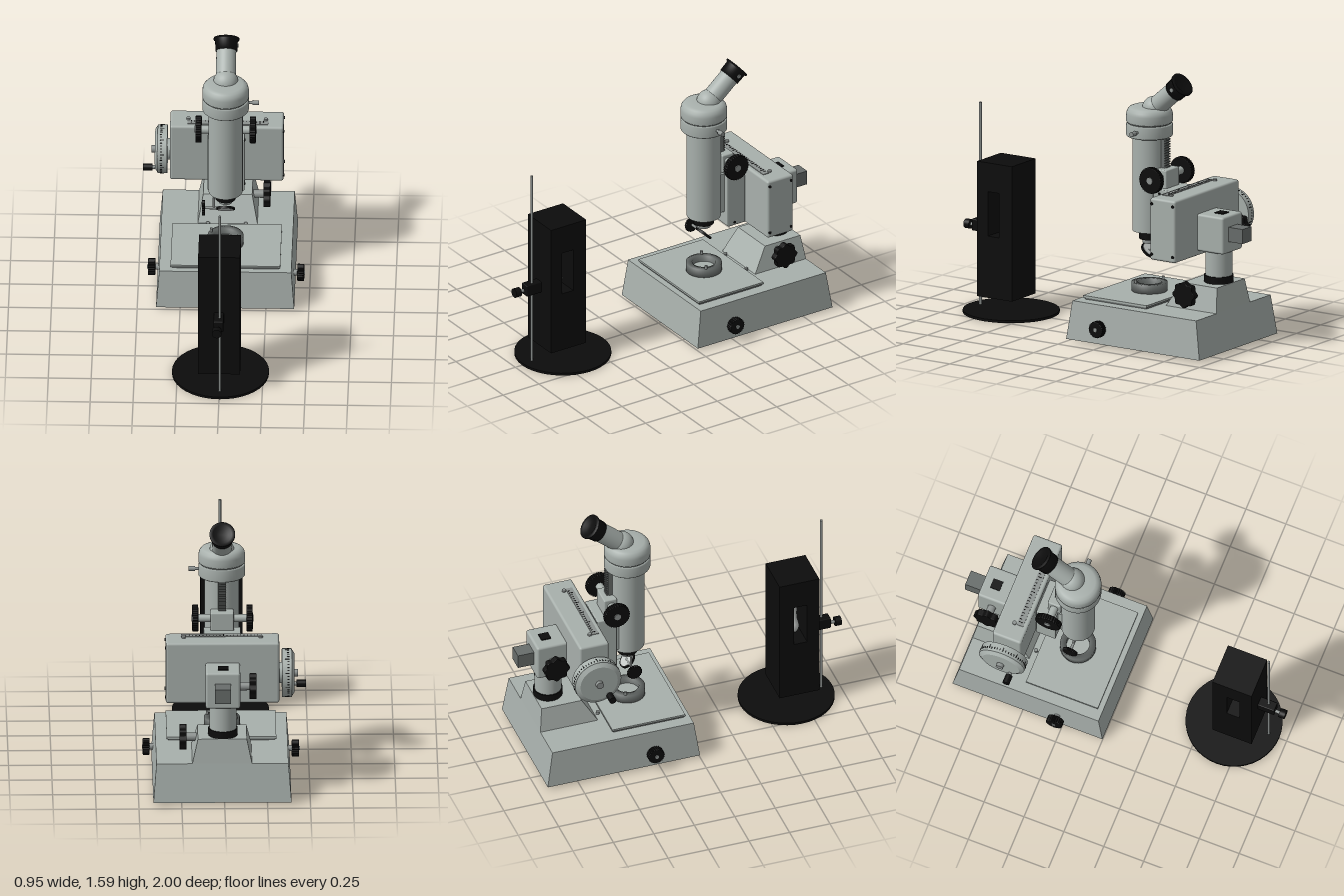
import * as THREE from 'three';
import { RoundedBoxGeometry } from 'three/addons/geometries/RoundedBoxGeometry.js';

const paint = (name, color) => {
  const m = new THREE.MeshStandardMaterial({ color });
  m.name = name;
  return m;
};

export function createModel() {
  const root = new THREE.Group();
  root.name = 'microscopeAndLamp';
  const grey = paint('greyEnamel', 0xa8b0ac);
  const steel = paint('steel', 0x8d9290);
  const dark = paint('darkMetal', 0x686d6b);
  const black = paint('black', 0x0c0c0c);
  const glass = paint('paleGlass', 0xc4c8c6);

  const add = (name, geo, mat, x = 0, y = 0, z = 0, parent = root) => {
    const m = new THREE.Mesh(geo, mat);
    m.name = name;
    m.position.set(x, y, z);
    parent.add(m);
    return m;
  };
  // Box given by its limits on each axis
  const box = (name, mat, [x0, x1], [y0, y1], [z0, z1], round = 0) => {
    const s = [x1 - x0, y1 - y0, z1 - z0];
    const geo = round ? new RoundedBoxGeometry(...s, 3, round) : new THREE.BoxGeometry(...s);
    return add(name, geo, mat, (x0 + x1) / 2, (y0 + y1) / 2, (z0 + z1) / 2);
  };
  // Cylinder running between two values along one axis
  const rod = (name, mat, axis, r, from, to, x, y, z, r2 = r, parent = root) => {
    const g = new THREE.CylinderGeometry(r2, r, to - from, 40);
    if (axis === 'x') g.rotateZ(-Math.PI / 2);
    if (axis === 'z') g.rotateX(Math.PI / 2);
    const m = add(name, g, mat, x, y, z, parent);
    m.position[axis] = (from + to) / 2;
    return m;
  };
  // Lobed or knurled knob with its axis along x
  const knob = (name, r, from, to, y, z, lobes, depth) => {
    const pts = [];
    for (let i = 0; i < 96; i++) {
      const a = (i / 96) * Math.PI * 2, q = r - depth + depth * Math.cos(a * lobes);
      pts.push(new THREE.Vector2(Math.cos(a) * q, Math.sin(a) * q));
    }
    const b = 0.004;
    const g = new THREE.ExtrudeGeometry(new THREE.Shape(pts), {
      depth: to - from - 2 * b, bevelEnabled: true, bevelSize: b, bevelThickness: b, bevelOffset: -b, bevelSegments: 2,
    });
    g.center().rotateY(Math.PI / 2);
    return add(name, g, black, (from + to) / 2, y, z);
  };
  // Box whose top rectangle differs from its bottom one
  const taper = (name, mat, y0, y1, bottom, top) => {
    const g = new THREE.BoxGeometry(1, 1, 1), p = g.attributes.position;
    for (let i = 0; i < p.count; i++) {
      const [x0, x1, z0, z1] = p.getY(i) > 0 ? top : bottom;
      p.setXYZ(i, p.getX(i) > 0 ? x1 : x0, p.getY(i) > 0 ? y1 : y0, p.getZ(i) > 0 ? z1 : z0);
    }
    g.computeVertexNormals();
    return add(name, g, mat);
  };
  const lathe = (name, mat, pts, x, y, z, parent = root) =>
    add(name, new THREE.LatheGeometry(pts.map(p => new THREE.Vector2(...p)), 48), mat, x, y, z, parent);

  const cx = 0.008, tubeZ = -0.31, colZ = -0.8;

  // Base, stage and pedestal
  taper('base', grey, 0.015, 0.245, [-0.39, 0.415, -0.94, 0], [-0.372, 0.397, -0.905, -0.032]);
  box('stageLowerPlate', dark, [-0.3, 0.325], [0.245, 0.256], [-0.505, -0.07]);
  box('stagePlate', grey, [-0.307, 0.332], [0.256, 0.268], [-0.512, -0.062]);
  taper('pedestal', grey, 0.245, 0.39, [-0.16, 0.188, -0.905, -0.55], [-0.13, 0.155, -0.887, -0.64]);
  for (const x of [-0.1, 0.12]) rod('stageScrew', steel, 'y', 0.011, 0.245, 0.263, x, 0, -0.53);
  lathe('specimenRing', dark, [[0.068, 0], [0.105, 0], [0.105, 0.052], [0.068, 0.052], [0.068, 0]], cx, 0.268, tubeZ);
  rod('specimenGlass', grey, 'y', 0.068, 0.268, 0.285, cx, 0, tubeZ);
  for (const dz of [-0.04, 0.04]) rod('ringPin', steel, 'y', 0.008, 0.3, 0.342, cx + dz * 2.1, 0, tubeZ + dz);

  // Base side knobs
  knob('baseKnobLeft', 0.05, 0.428, 0.468, 0.112, -0.243, 24, 0.002);
  rod('baseShaftLeft', steel, 'x', 0.018, 0.39, 0.43, 0, 0.112, -0.243);
  rod('baseKnobCapLeft', steel, 'x', 0.012, 0.46, 0.473, 0, 0.112, -0.243);
  knob('baseKnobRight', 0.05, -0.443, -0.4, 0.112, -0.285, 24, 0.002);
  rod('baseShaftRight', steel, 'x', 0.018, -0.402, -0.37, 0, 0.112, -0.285);
  rod('baseKnobCapRight', steel, 'x', 0.012, -0.448, -0.435, 0, 0.112, -0.285);

  // Rear column, clamp block and crossbar
  rod('columnCollar', black, 'y', 0.086, 0.39, 0.432, cx, 0, colZ);
  rod('column', grey, 'y', 0.079, 0.43, 0.6, cx, 0, colZ);
  box('clampBlock', grey, [-0.092, 0.11], [0.58, 0.802], [-0.9, -0.71], 0.014);
  box('crossbar', dark, [-0.036, 0.056], [0.65, 0.737], [-1, -0.89]);
  box('blockTopPlug', black, [-0.023, 0.037], [0.8, 0.808], [-0.85, -0.79]);
  knob('pedestalStarKnob', 0.079, 0.22, 0.26, 0.345, -0.72, 8, 0.006);
  rod('pedestalShaft', steel, 'x', 0.024, 0.14, 0.225, 0, 0.345, -0.72);
  knob('blockStarKnob', 0.08, -0.187, -0.147, 0.69, -0.81, 8, 0.006);
  rod('blockShaft', steel, 'x', 0.024, -0.15, -0.08, 0, 0.69, -0.81);

  // Traverse housing with scale marks and screws
  box('housing', grey, [-0.322, 0.34], [0.55, 0.922], [-0.718, -0.538], 0.014);
  box('slideGap', dark, [-0.085, 0.1], [0.58, 0.9], [-0.545, -0.525]);
  box('slide', grey, [-0.1, 0.116], [0.565, 0.912], [-0.53, -0.41], 0.006);
  box('dovetail', grey, [-0.06, 0.076], [0.65, 0.9], [-0.42, -0.365]);
  box('scaleStrip', steel, [-0.22, 0.25], [0.92, 0.926], [-0.605, -0.565]);
  for (let i = 0; i < 22; i++) {
    const x = -0.2 + i * 0.02, d = i % 5 ? 0.012 : 0.022;
    box('scaleMark', black, [x, x + 0.004], [0.925, 0.928], [-0.6, -0.6 + d]);
  }
  for (const y of [0.585, 0.888]) {
    for (const z of [-0.553, -0.7]) rod('housingScrew', black, 'x', 0.009, 0.335, 0.344, 0, y, z);
    rod('slideScrew', black, 'x', 0.008, 0.11, 0.119, 0, y, -0.455);
  }
  for (const x of [-0.215, 0.235]) rod('scaleScrew', steel, 'y', 0.012, 0.915, 0.932, x, 0, -0.62);

  // Graduated drum with crank handle
  const dy = 0.707, dz = -0.63;
  rod('drumHub', grey, 'x', 0.062, -0.345, -0.315, 0, dy, dz);
  rod('drumRim', grey, 'x', 0.142, -0.395, -0.338, 0, dy, dz);
  rod('drumFace', grey, 'x', 0.115, -0.41, -0.395, 0, dy, dz, 0.138);
  rod('drumBoss', steel, 'x', 0.022, -0.432, -0.405, 0, dy, dz);
  rod('crankPin', steel, 'x', 0.012, -0.43, -0.4, 0, 0.618, -0.57);
  rod('crankHandle', black, 'x', 0.021, -0.48, -0.425, 0, 0.618, -0.57);
  for (let i = 0; i < 50; i++) {
    const a = (i / 50) * Math.PI * 2, l = i % 5 ? 0.012 : 0.024;
    const mark = add('drumMark', new THREE.BoxGeometry(l, 0.003, 0.005), black,
      -0.38 + l / 2, dy + Math.cos(a) * 0.142, dz + Math.sin(a) * 0.142);
    mark.rotation.x = a;
  }

  // Focus rack and pinion knobs
  box('rack', dark, [-0.014, 0.03], [0.9, 1.2], [-0.432, -0.4]);
  for (let i = 0; i < 20; i++) {
    const y = 0.905 + i * 0.0148;
    box('rackTooth', dark, [-0.014, 0.03], [y, y + 0.007], [-0.445, -0.43]);
  }
  box('pinionBlock', grey, [-0.06, 0.076], [0.905, 1.02], [-0.475, -0.395], 0.008);
  rod('pinionShaft', grey, 'x', 0.024, -0.14, 0.15, 0, 0.975, -0.432);
  for (const [a, b] of [[-0.17, -0.135], [0.147, 0.182]]) {
    knob('focusKnob', 0.079, a, b, 0.975, -0.432, 30, 0.002);
    rod('focusKnobCap', steel, 'x', 0.02, a - 0.005, b + 0.005, 0, 0.975, -0.432);
  }

  // Main tube, objective and tilted reflector
  rod('mainTube', grey, 'y', 0.1, 0.63, 1.21, cx, 0, tubeZ);
  rod('objectiveCollar', black, 'y', 0.06, 0.58, 0.63, cx, 0, tubeZ);
  rod('objective', steel, 'y', 0.04, 0.555, 0.58, cx, 0, tubeZ);
  rod('reflectorArm', steel, 'x', 0.008, -0.12, 0.02, 0, 0.508, tubeZ);
  rod('reflectorPost', steel, 'y', 0.007, 0.5, 0.58, -0.06, 0, tubeZ);
  knob('reflectorKnob', 0.046, -0.13, -0.112, 0.508, tubeZ, 24, 0.002);
  const mirror = new THREE.Group();
  mirror.name = 'reflector';
  mirror.position.set(cx, 0.508, tubeZ);
  mirror.rotation.x = -0.75;
  root.add(mirror);
  rod('reflectorRim', black, 'y', 0.054, -0.008, 0.004, 0, 0, 0, 0.054, mirror);
  rod('reflectorGlass', glass, 'y', 0.046, -0.01, 0.006, 0, 0, 0, 0.046, mirror);

  // Head with groove and domed top
  lathe('headLower', grey, [[0, 0], [0.13, 0], [0.136, 0.006], [0.136, 0.07], [0.131, 0.078], [0, 0.078]], cx, 1.197, tubeZ);
  rod('headGroove', dark, 'y', 0.128, 1.27, 1.285, cx, 0, tubeZ);
  lathe('headUpper', grey, [[0, 0], [0.131, 0], [0.136, 0.006], [0.136, 0.05], [0.131, 0.07], [0.118, 0.086],
    [0.1, 0.093], [0.06, 0.097], [0, 0.098]], cx, 1.28, tubeZ);
  rod('headPin', steel, 'x', 0.009, 0.13, 0.17, 0, 1.24, -0.315);
  rod('headPinTip', steel, 'x', 0.014, 0.165, 0.203, 0, 1.24, -0.315);

  // Inclined eyepiece
  const eye = new THREE.Group();
  eye.name = 'eyepiece';
  eye.position.set(cx, 1.365, -0.345);
  eye.rotation.x = -0.86;
  root.add(eye);
  add('eyepieceSocket', new THREE.SphereGeometry(0.072, 32, 20), grey, 0, 0, 0, eye);
  rod('eyepieceTube', grey, 'y', 0.058, 0, 0.2, 0, 0, 0, 0.058, eye);
  lathe('eyecup', black, [[0, 0.185], [0.064, 0.185], [0.066, 0.25], [0.075, 0.252], [0.075, 0.262],
    [0.055, 0.262], [0.035, 0.25], [0, 0.25]], 0, 0, 0, eye);
  rod('eyepieceScrew', steel, 'x', 0.012, 0.058, 0.07, 0, 0.22, 0, 0.012, eye);

  // Lamp housing with a slot through its sides
  const wall = new THREE.Shape([[-0.83, 0.095], [-0.585, 0.095], [-0.585, 0.905], [-0.83, 0.905]].map(p => new THREE.Vector2(...p)));
  wall.holes.push(new THREE.Path([[-0.755, 0.465], [-0.755, 0.732], [-0.675, 0.732], [-0.675, 0.465]].map(p => new THREE.Vector2(...p))));
  const wallGeo = new THREE.ExtrudeGeometry(wall, { depth: 0.245, bevelEnabled: false });
  wallGeo.rotateY(Math.PI / 2);
  add('lampHousing', wallGeo, black, -0.125);
  lathe('lampBulb', glass, [[0, 0.465], [0.025, 0.475], [0.035, 0.505], [0.03, 0.53], [0.022, 0.56], [0.02, 0.6],
    [0.022, 0.64], [0.032, 0.665], [0.035, 0.69], [0.025, 0.715], [0, 0.724]], 0, 0, 0.713);

  // Lamp foot, rod and clamp
  rod('lampFoot', black, 'y', 0.283, 0, 0.015, 0.002, 0, 0.67);
  rod('lampRod', steel, 'y', 0.008, 0.015, 1.228, 0.002, 0, 0.887);
  box('lampClamp', black, [-0.033, 0.025], [0.455, 0.525], [0.83, 0.935], 0.006);
  rod('clampScrew', steel, 'z', 0.01, 0.93, 0.968, -0.013, 0.482, 0);
  rod('clampKnob', black, 'z', 0.028, 0.963, 1, -0.013, 0.482, 0);

  return root;
}
